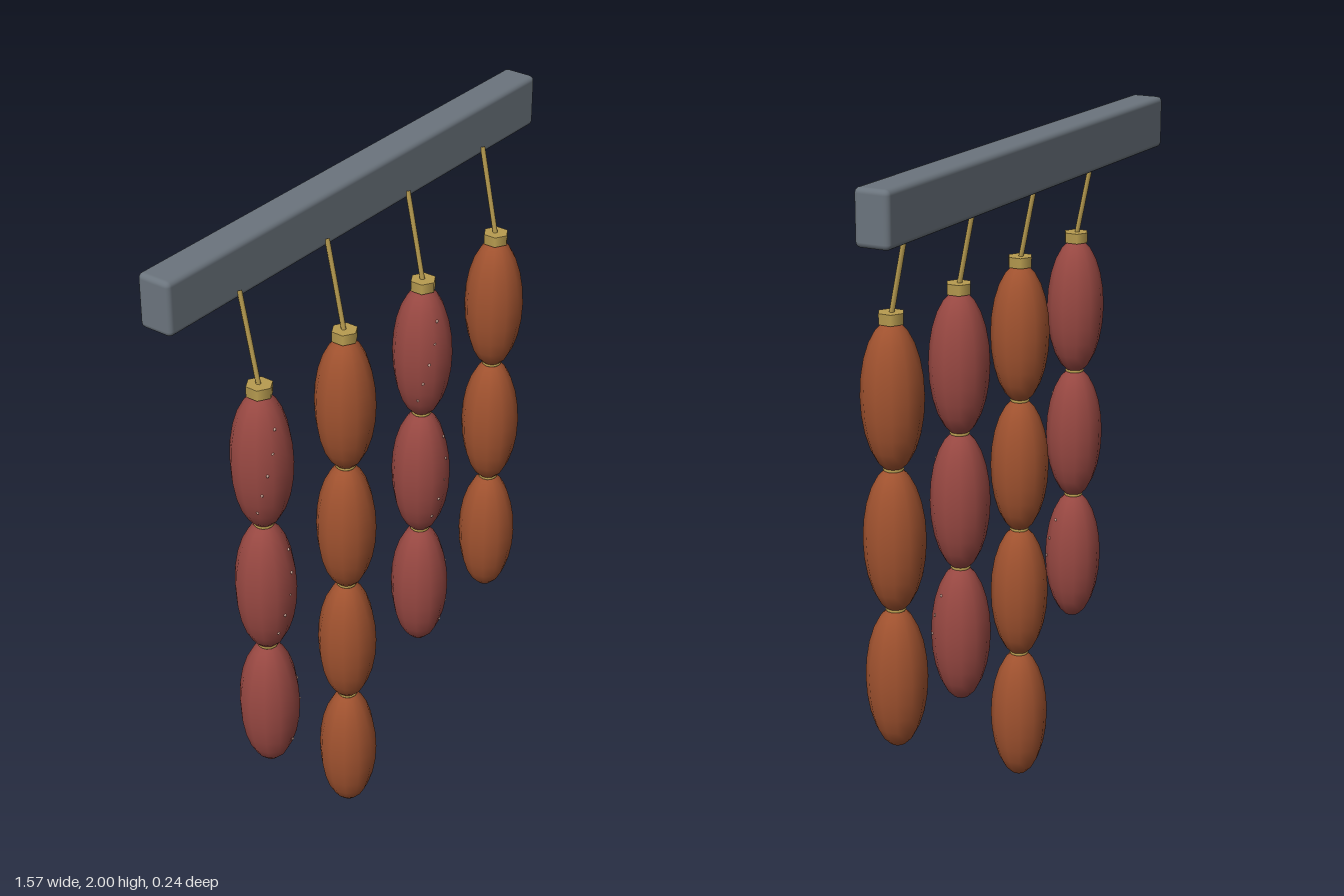
import * as THREE from 'three';
import { RoundedBoxGeometry } from 'three/addons/geometries/RoundedBoxGeometry.js';

const material = (name, color) => {
  const m = new THREE.MeshStandardMaterial({ color });
  m.name = name;
  return m;
};

export function createModel() {
  const steel = material('slate steel', 0x6b747d);
  const russet = material('russet sausage', 0xa0522f);
  const burgundy = material('burgundy sausage', 0x984842);
  const twine = material('golden twine', 0xb89c50);
  const fat = material('pale fat', 0xd8b0a0);

  const model = new THREE.Group();
  const add = (parent, name, geometry, mat, x, y, z) => {
    const mesh = new THREE.Mesh(geometry, mat);
    mesh.name = name;
    mesh.position.set(x, y, z);
    parent.add(mesh);
    return mesh;
  };

  // Wall rail
  add(model, 'rail', new RoundedBoxGeometry(1.572, 0.15, 0.1, 2, 0.015), steel, 0, 1.925, -0.07);

  // Shared geometry for every strand
  const R = 0.085, H = 0.206, PITCH = 0.397, Z = 0.035;
  const link = new THREE.SphereGeometry(1, 12, 12).scale(R, H, R);
  const knot = new THREE.CylinderGeometry(0.037, 0.037, 0.03, 6);
  const tie = new THREE.TorusGeometry(0.023, 0.006, 5, 12).rotateX(Math.PI / 2);
  const fleck = new THREE.SphereGeometry(0.0045, 5, 4);
  const cord = new THREE.TubeGeometry(new THREE.LineCurve3(
    new THREE.Vector3(0, 1.61, Z), new THREE.Vector3(0, 1.875, -0.02)), 1, 0.007, 6);

  const strands = [
    { x: -0.528, count: 3, skin: burgundy },
    { x: -0.176, count: 4, skin: russet },
    { x: 0.176, count: 3, skin: burgundy },
    { x: 0.528, count: 3, skin: russet },
  ];

  for (const { x, count, skin } of strands) {
    const strand = new THREE.Group();
    strand.name = 'sausageStrand';
    strand.position.x = x;
    model.add(strand);
    add(strand, 'hangingCord', cord, twine, 0, 0, 0);
    add(strand, 'topKnot', knot, twine, 0, 1.609, Z);

    for (let i = 0; i < count; i++) {
      const y = 1.397 - i * PITCH;
      add(strand, 'sausage', link, skin, 0, y, Z);
      if (i < count - 1) add(strand, 'linkTie', tie, twine, 0, y - PITCH / 2, Z);
      if (skin !== burgundy) continue;
      // Small fat flecks barely breaking the front of the skin
      for (let k = 0; k < 5; k++) {
        const a = -1.1 + ((k * 2.4 + i * 0.7) % 2.2);
        const t = -0.6 + k * 0.3;
        const r = R * Math.sqrt(1 - t * t) - 0.003;
        add(strand, 'fatFleck', fleck, fat, r * Math.sin(a), y + t * H, Z + r * Math.cos(a));
      }
    }
  }
  return model;
}
